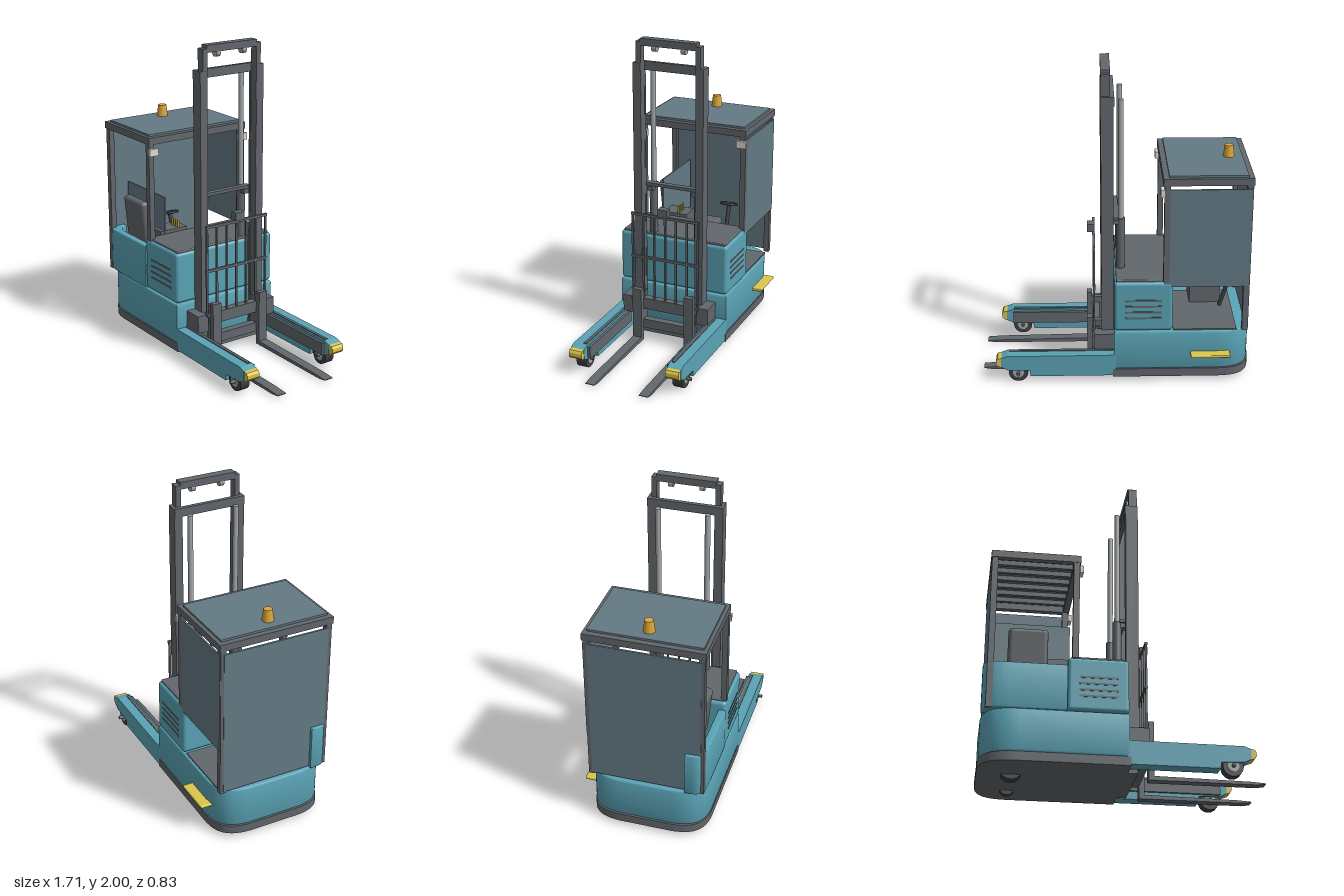
import * as THREE from 'three';
import { RoundedBoxGeometry } from 'three/addons/geometries/RoundedBoxGeometry.js';
import { toCreasedNormals } from 'three/addons/utils/BufferGeometryUtils.js';

const mat = (color) => new THREE.MeshStandardMaterial({ color });
const TEAL = mat(0x5aa3b5), DARK = mat(0x62676c), BLACK = mat(0x3c3f42), GLASS = mat(0x647a84);
const YELLOW = mat(0xdcc64a), AMBER = mat(0xdca63a), STEEL = mat(0xa4a8ab), WHITE = mat(0xdedbd2);

export function createModel() {
  const model = new THREE.Group();
  const truck = new THREE.Group();
  truck.name = 'reachTruck';
  truck.position.z = 0.018;
  model.add(truck);

  const add = (name, geo, m, x = 0, y = 0, z = 0) => {
    const mesh = new THREE.Mesh(geo, m);
    mesh.name = name;
    mesh.position.set(x, y, z);
    truck.add(mesh);
    return mesh;
  };
  // box given by its limits, optionally with rounded edges
  const box = (name, m, x0, x1, y0, y1, z0, z1, r = 0) => {
    const s = [x1 - x0, y1 - y0, z1 - z0];
    const geo = r ? new RoundedBoxGeometry(...s, 3, r) : new THREE.BoxGeometry(...s);
    return add(name, geo, m, (x0 + x1) / 2, (y0 + y1) / 2, (z0 + z1) / 2);
  };
  const pair = (name, m, x0, x1, y0, y1, z0, z1, r) => {
    box(name, m, x0, x1, y0, y1, z0, z1, r);
    box(name, m, x0, x1, y0, y1, -z1, -z0, r);
  };
  const cyl = (name, m, r0, r1, h, x, y, z, axis = 'y', n = 24) => {
    const geo = new THREE.CylinderGeometry(r1, r0, h, n);
    if (axis === 'z') geo.rotateX(Math.PI / 2);
    return add(name, geo, m, x, y, z);
  };
  // plan outline (x, -z) raised from y0 to y1
  const slab = (name, m, shape, y0, y1, bevel = 0) => {
    const geo = new THREE.ExtrudeGeometry(shape, {
      depth: y1 - y0 - 2 * bevel, bevelEnabled: bevel > 0, bevelSize: bevel,
      bevelThickness: bevel, bevelOffset: -bevel, bevelSegments: 3, curveSegments: 14 });
    geo.rotateX(-Math.PI / 2);
    return add(name, toCreasedNormals(geo, 0.6), m, 0, y0 + bevel, 0);
  };
  const chassisOutline = (x0, x1, w) => {
    const s = new THREE.Shape();
    s.moveTo(x1, -w);
    s.lineTo(x0 + 0.22, -w);
    s.bezierCurveTo(x0 + 0.08, -w, x0 + 0.01, -w + 0.05, x0, -w + 0.2);
    s.lineTo(x0, w - 0.2);
    s.bezierCurveTo(x0 + 0.01, w - 0.05, x0 + 0.08, w, x0 + 0.22, w);
    s.lineTo(x1, w);
    s.closePath();
    return s;
  };

  // Chassis
  slab('skirt', DARK, chassisOutline(-0.858, 0.02, 0.374), 0.03, 0.085);
  slab('lowerBody', TEAL, chassisOutline(-0.852, 0.012, 0.373), 0.085, 0.35, 0.012);
  box('floorMat', DARK, -0.76, -0.36, 0.345, 0.358, -0.355, 0.2);
  cyl('driveWheel', BLACK, 0.07, 0.07, 0.07, -0.655, 0.07, 0.09, 'z');
  cyl('casterWheel', BLACK, 0.045, 0.045, 0.04, -0.66, 0.046, -0.2, 'z');
  box('step', YELLOW, -0.72, -0.47, 0.19, 0.208, -0.437, -0.36, 0.006);

  // Seat surround: side wall that wraps the rear corner
  const wall = new THREE.Shape();
  wall.moveTo(-0.355, -0.373);
  wall.lineTo(-0.7, -0.373);
  wall.bezierCurveTo(-0.8, -0.372, -0.853, -0.36, -0.853, -0.29);
  wall.lineTo(-0.853, -0.25);
  wall.lineTo(-0.8, -0.25);
  wall.bezierCurveTo(-0.79, -0.3, -0.74, -0.325, -0.66, -0.325);
  wall.lineTo(-0.355, -0.325);
  wall.closePath();
  slab('sideWall', TEAL, wall, 0.35, 0.64, 0.008);

  // Motor hood with louvres
  box('hood', TEAL, -0.355, 0.012, 0.355, 0.69, -0.373, 0.373, 0.022);
  box('hoodCover', DARK, -0.335, 0, 0.685, 0.702, -0.355, 0.355, 0.006);
  for (let i = 0; i < 4; i++)
    pair('louvre', DARK, -0.285, -0.055, 0.44 + i * 0.04, 0.452 + i * 0.04, 0.368, 0.376);

  // Operator's place
  box('seatBase', DARK, -0.69, -0.49, 0.355, 0.52, 0.02, 0.31);
  box('seatCushion', DARK, -0.7, -0.48, 0.52, 0.6, -0.06, 0.25, 0.025);
  const back = box('seatBack', DARK, -0.71, -0.47, 0.58, 0.89, 0.25, 0.31, 0.025);
  back.rotation.x = 0.1;
  box('backPanel', GLASS, -0.79, -0.335, 0.6, 0.95, 0.225, 0.235);
  box('armConsole', DARK, -0.47, -0.34, 0.62, 0.72, 0.06, 0.26);
  for (let i = 0; i < 4; i++)
    box('controlLever', YELLOW, -0.426 + i * 0.024, -0.416 + i * 0.024, 0.72, 0.768, 0.115, 0.127);
  const column = cyl('steeringColumn', BLACK, 0.014, 0.014, 0.3, -0.72, 0.53, -0.08, 'y', 12);
  column.rotation.z = 0.3;
  const wheel = add('steeringWheel', new THREE.TorusGeometry(0.055, 0.009, 8, 24), BLACK, -0.762, 0.675, -0.08);
  wheel.rotation.set(Math.PI / 2, 0.3, 0);

  // Cab frame, glazing and roof
  pair('frontPost', DARK, -0.33, -0.292, 0.69, 1.335, 0.335, 0.371);
  pair('rearPost', DARK, -0.83, -0.792, 0.35, 1.335, 0.33, 0.366);
  box('rearWindow', GLASS, -0.832, -0.82, 0.36, 1.305, -0.345, 0.345);
  box('sideWindow', GLASS, -0.825, -0.3, 0.66, 1.305, -0.371, -0.36);
  pair('roofSideRail', DARK, -0.835, -0.285, 1.33, 1.375, 0.333, 0.373);
  box('roofRearRail', DARK, -0.835, -0.795, 1.33, 1.375, -0.34, 0.34);
  box('roofFrontRail', DARK, -0.325, -0.285, 1.33, 1.375, -0.34, 0.34);
  for (let i = 0; i < 6; i++)
    box('roofBar', DARK, -0.8, -0.32, 1.34, 1.37, -0.255 + i * 0.1 - 0.012, -0.231 + i * 0.1 - 0.012);
  box('roofPanel', GLASS, -0.8, -0.32, 1.372, 1.388, -0.35, 0.35);
  pair('headlight', WHITE, -0.292, -0.27, 1.258, 1.305, 0.312, 0.378);
  cyl('beacon', AMBER, 0.036, 0.027, 0.075, -0.713, 1.424, 0);

  // Support legs with load wheels
  const leg = new THREE.Shape([[0, 0.04], [0.545, 0.04], [0.55, 0.08], [0.69, 0.085], [0.73, 0.105],
    [0.73, 0.168], [0.69, 0.183], [0, 0.185]].map((p) => new THREE.Vector2(...p)));
  const tip = new THREE.Shape([[0.72, 0.1], [0.75, 0.11], [0.762, 0.125], [0.762, 0.15], [0.752, 0.165],
    [0.72, 0.17]].map((p) => new THREE.Vector2(...p)));
  for (const s of [1, -1]) {
    const z0 = s > 0 ? 0.28 : -0.373;
    add('supportLeg', new THREE.ExtrudeGeometry(leg, { depth: 0.093, bevelEnabled: false }), TEAL, 0, 0, z0);
    add('legTip', new THREE.ExtrudeGeometry(tip, { depth: 0.087, bevelEnabled: false }), YELLOW, 0, 0, z0 + 0.003);
    cyl('loadWheel', BLACK, 0.062, 0.062, 0.065, 0.622, 0.062, s * 0.328, 'z', 28);
    cyl('wheelHub', STEEL, 0.035, 0.035, 0.072, 0.622, 0.062, s * 0.328, 'z', 20);
    cyl('wheelAxle', DARK, 0.011, 0.011, 0.12, 0.622, 0.062, s * 0.335, 'z', 12);
  }
  pair('legRail', DARK, 0.1, 0.685, 0.09, 0.17, 0.262, 0.282);
  pair('legTopStrip', DARK, 0.01, 0.68, 0.184, 0.19, 0.29, 0.31);

  // Mast: outer channels, inner rails, cross members
  pair('outerMastWeb', DARK, 0.012, 0.09, 0.1, 1.845, 0.218, 0.237);
  for (const x of [0.012, 0.074]) pair('outerMastFlange', DARK, x, x + 0.016, 0.1, 1.845, 0.184, 0.22);
  pair('innerMastRail', DARK, 0.034, 0.088, 0.14, 1.98, 0.183, 0.216);
  box('outerTopBeam', DARK, 0.008, 0.034, 1.79, 1.845, -0.237, 0.237);
  box('innerTopBeam', DARK, 0.032, 0.09, 1.955, 2, -0.186, 0.186);
  box('lowerBeam', DARK, 0.02, 0.08, 0.03, 0.1, -0.237, 0.237);
  pair('mastFoot', DARK, 0.012, 0.14, 0.18, 0.295, 0.22, 0.298);
  for (const z of [-0.097, 0.097])
    cyl('chainPulley', STEEL, 0.026, 0.026, 0.03, 0.06, 1.945, z, 'z', 20);
  for (const z of [-0.155, 0.155]) {
    cyl('liftCylinder', DARK, 0.027, 0.027, 0.35, -0.033, 0.865, z);
    cyl('liftRod', STEEL, 0.017, 0.017, 0.78, -0.033, 1.42, z);
    box('cylinderBracket', DARK, -0.03, 0.03, 1.0, 1.03, z - 0.02, z + 0.02);
  }
  box('cylinderTie', DARK, -0.02, 0.02, 1.03, 1.05, -0.19, 0.19);

  // Carriage and load backrest
  box('carriagePlate', DARK, 0.1, 0.15, 0.225, 0.3, -0.2, 0.2);
  box('carriageLowerPlate', DARK, 0.1, 0.15, 0.09, 0.15, -0.2, 0.2);
  pair('carriageRoller', DARK, 0.08, 0.15, 0.09, 0.34, 0.15, 0.19);
  for (const y of [0.865, 0.575]) box('backrestRail', DARK, 0.128, 0.144, y, y + 0.017, -0.235, 0.235);
  for (let i = 0; i < 7; i++) {
    const z = (i - 3) * 0.0755;
    box('backrestBar', DARK, 0.13, 0.142, 0.28, 0.87, z - 0.006, z + 0.006);
  }
  box('backrestFoot', DARK, 0.12, 0.15, 0.28, 0.297, -0.235, 0.235);
  box('sensorBracket', DARK, 0.13, 0.142, 0.87, 0.94, -0.015, 0.015);
  box('sensor', DARK, 0.13, 0.178, 0.89, 0.942, -0.033, 0.033);

  // Forks: shank and tapered blade
  const fork = new THREE.Shape([[0.148, 0.004], [0.8, 0.004], [0.853, 0.012], [0.853, 0.016], [0.76, 0.022],
    [0.182, 0.03], [0.182, 0.37], [0.148, 0.37]].map((p) => new THREE.Vector2(...p)));
  for (const z of [0.15, -0.212])
    add('fork', new THREE.ExtrudeGeometry(fork, { depth: 0.062, bevelEnabled: false }), DARK, 0, 0, z);

  return model;
}
